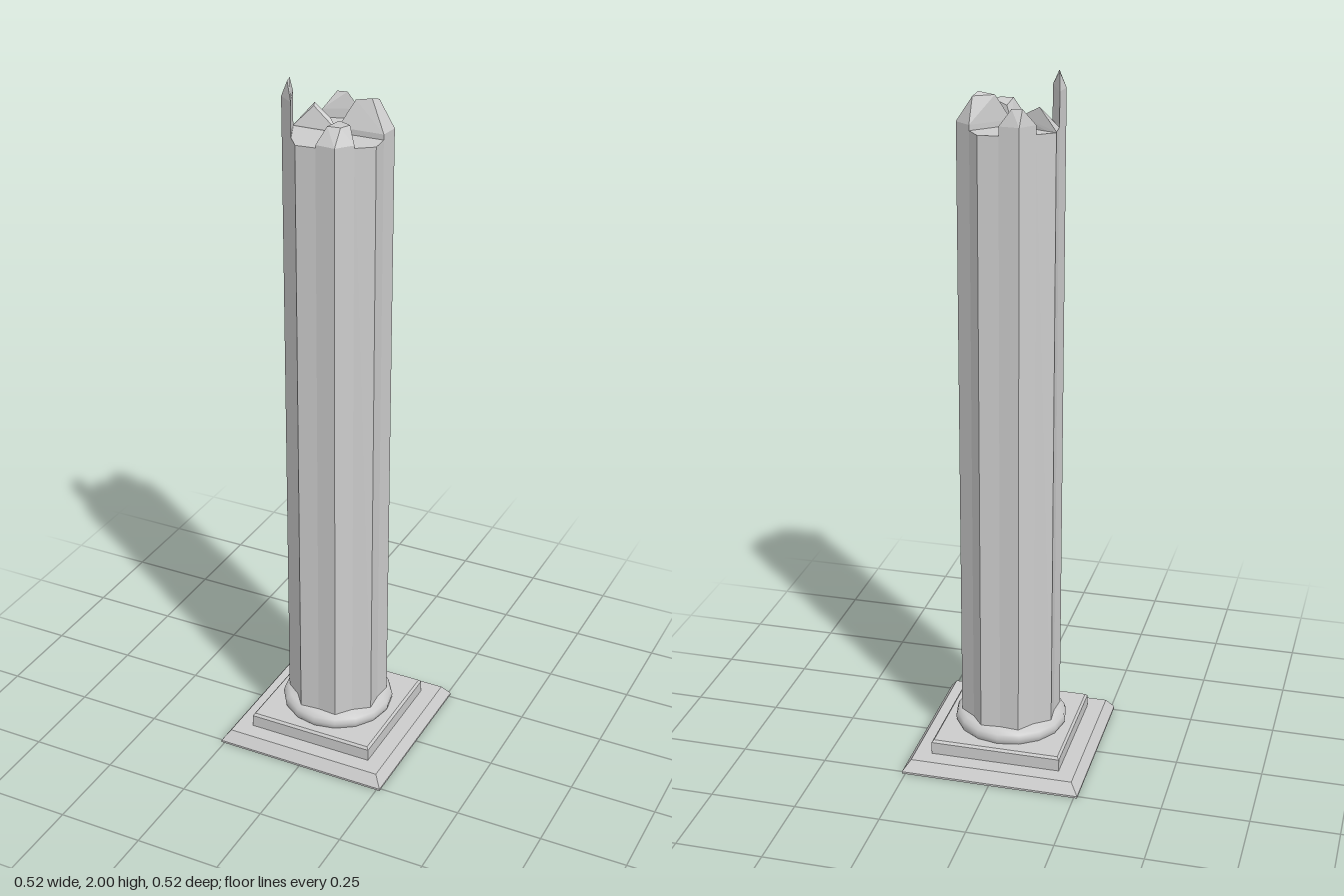
import * as THREE from 'three';
import { ConvexGeometry } from 'three/addons/geometries/ConvexGeometry.js';
import { toCreasedNormals } from 'three/addons/utils/BufferGeometryUtils.js';

const flat = new THREE.MeshStandardMaterial({ color: 0xcccccc, flatShading: true });
const smooth = new THREE.MeshStandardMaterial({ color: 0xcccccc });
const BREAK_Y = 1.86;

function add(group, name, geometry, material = flat) {
  const mesh = new THREE.Mesh(geometry, material);
  mesh.name = name;
  group.add(mesh);
}

// Square slab: half-widths at bottom and top, between two heights
function slab(group, name, bottom, top, y0, y1) {
  const g = new THREE.CylinderGeometry(top * Math.SQRT2, bottom * Math.SQRT2, y1 - y0, 4);
  g.rotateY(Math.PI / 4).translate(0, (y0 + y1) / 2, 0);
  add(group, name, g);
}

// Broken stone shard: footprint [x, z] rising straight to a shoulder, then to peak points [x, y, z]
function shard(group, name, footprint, shoulder, peak) {
  const pts = [];
  for (const [x, z] of footprint) {
    pts.push(new THREE.Vector3(x, BREAK_Y - 0.01, z), new THREE.Vector3(x, shoulder, z));
  }
  for (const p of peak) pts.push(new THREE.Vector3(...p));
  add(group, name, new ConvexGeometry(pts));
}

export function createModel() {
  const group = new THREE.Group();
  group.name = 'brokenColumn';

  // Stepped square base
  slab(group, 'lowerPlinth', 0.26, 0.26, 0, 0.006);
  slab(group, 'lowerPlinthBevel', 0.26, 0.238, 0.006, 0.037);
  slab(group, 'upperPlinth', 0.19, 0.19, 0.037, 0.073);
  slab(group, 'upperPlinthBevel', 0.19, 0.184, 0.073, 0.08);

  // Rounded base ring
  const ring = [[0, 0.075], [0.155, 0.075], [0.162, 0.085], [0.164, 0.097], [0.16, 0.11], [0.147, 0.12], [0, 0.12]]
    .map(([x, y]) => new THREE.Vector2(x, y));
  add(group, 'baseRing', toCreasedNormals(new THREE.LatheGeometry(ring, 16), 0.9), smooth);

  // Eight-sided shaft with shallow creases down the middle of each side
  const outline = [];
  for (let i = 0; i < 16; i++) {
    const r = i % 2 ? 0.146 : i % 4 ? 0.127 : 0.13;
    const a = (i * Math.PI) / 8;
    outline.push(new THREE.Vector2(r * Math.cos(a), r * Math.sin(a)));
  }
  const shaft = new THREE.ExtrudeGeometry(new THREE.Shape(outline), { depth: BREAK_Y - 0.1, bevelEnabled: false });
  shaft.rotateX(-Math.PI / 2).translate(0, 0.1, 0);
  add(group, 'shaft', shaft);

  // Jagged shards around the broken top
  shard(group, 'tallLeftShard', [[-0.13, 0], [-0.135, 0.056], [-0.09, 0.09]], 1.955,
    [[-0.122, 2, 0.032], [-0.114, 2, 0.062]]);
  shard(group, 'rightShard', [[0, 0], [0.13, 0], [0.135, -0.056], [0.09, -0.09]], 1.875,
    [[0.036, 1.945, -0.03], [0.08, 1.953, -0.035], [0.088, 1.945, -0.062]]);
  shard(group, 'backShard', [[-0.09, -0.09], [-0.056, -0.135], [0, -0.13]], 1.885,
    [[-0.06, 1.93, -0.117], [-0.032, 1.93, -0.121]]);
  shard(group, 'leftShard', [[0, 0], [-0.135, -0.056], [-0.13, 0]], 1.862,
    [[-0.085, 1.92, -0.035], [-0.08, 1.915, -0.02], [-0.03, 1.89, -0.017]]);
  shard(group, 'frontShard', [[0, 0], [0, 0.13], [0.056, 0.135], [0.09, 0.09]], 1.868,
    [[0.02, 1.905, 0.032], [0.02, 1.912, 0.103], [0.056, 1.912, 0.1], [0.068, 1.912, 0.07]]);

  return group;
}
